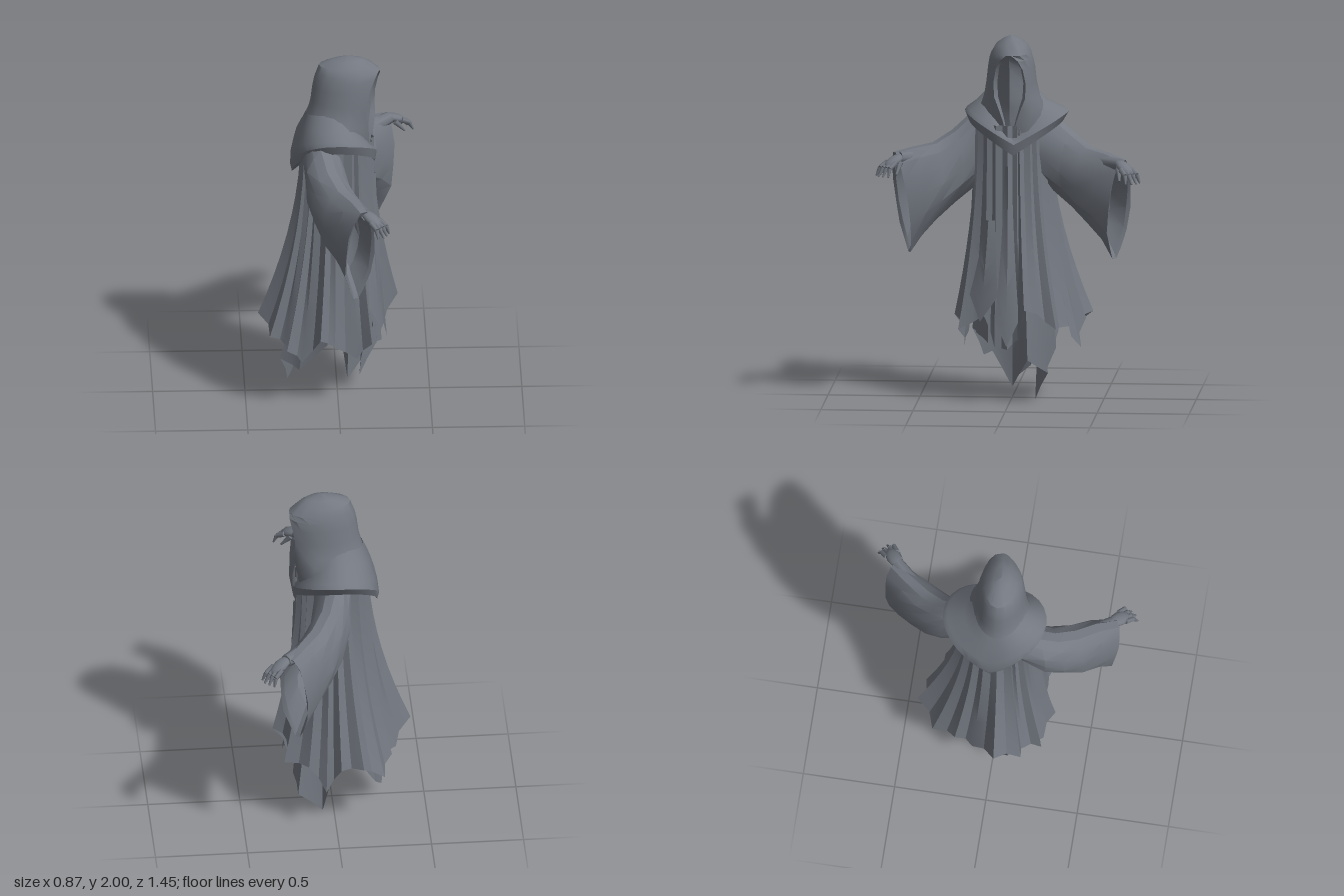
import * as THREE from 'three';
import { toCreasedNormals } from 'three/addons/utils/BufferGeometryUtils.js';

const cloth = new THREE.MeshStandardMaterial({ color: 0x737881, side: THREE.DoubleSide });
cloth.name = 'grey cloth';

const V = (x, y, z) => new THREE.Vector3(x, y, z);
const { lerp } = THREE.MathUtils;
const TAU = Math.PI * 2;

// Skin a surface over rows of points; each row is a closed ring unless open
function loft(name, rows, { open = false, crease = 0.6 } = {}) {
  const n = rows[0].length, pos = [], idx = [];
  rows.forEach(r => r.forEach(p => pos.push(p.x, p.y, p.z)));
  for (let r = 0; r < rows.length - 1; r++)
    for (let c = 0; c < (open ? n - 1 : n); c++) {
      const a = r * n + c, b = r * n + (c + 1) % n;
      idx.push(a, b, a + n, b, b + n, a + n);
    }
  const g = new THREE.BufferGeometry();
  g.setAttribute('position', new THREE.Float32BufferAttribute(pos, 3));
  g.setIndex(idx);
  g.computeVertexNormals();
  const mesh = new THREE.Mesh(toCreasedNormals(g, crease), cloth);
  mesh.name = name;
  return mesh;
}

// Tapered round segment between two points
function limb(name, a, b, r0, r1, sides = 8) {
  const d = b.clone().sub(a);
  const m = new THREE.Mesh(new THREE.CylinderGeometry(r1, r0, d.length(), sides), cloth);
  m.position.copy(a).addScaledVector(d, 0.5);
  m.quaternion.setFromUnitVectors(V(0, 1, 0), d.normalize());
  m.name = name;
  return m;
}

// Skirt from an elliptical top to a ragged hem of [x, y, z] points,
// with a shallow pleat sunk between each pair of points
function skirt(name, hem, top, rx, rz, power, pleat) {
  const points = hem.flatMap((p, i) => {
    const q = hem[(i + 1) % hem.length];
    return [p, [(p[0] + q[0]) / 2 * pleat, (p[1] + q[1]) / 2, (p[2] + q[2]) / 2 * pleat]];
  });
  const rows = [];
  for (let i = 0; i <= 9; i++) {
    const t = i / 9, f = Math.pow(t, power);
    rows.push(points.map(([x, y, z], c) => {
      const a = Math.atan2(z, x), k = c % 2 ? pleat : 1.02;
      return V(lerp(Math.cos(a) * rx * k, x, f), lerp(top, y, t), lerp(Math.sin(a) * rz * k, z, f));
    }));
  }
  return loft(name, rows, { crease: 0.4 });
}

// Pointed cloth strip lying on the robe, around angle a
function panel(a, width, top, bottom) {
  const rows = [];
  for (let i = 0; i <= 6; i++) {
    const t = i / 6, y = lerp(top, bottom, t);
    const grow = Math.pow((1.5 - y) / 1.05, 1.8);
    const w = width * (0.45 + 0.55 * t);
    rows.push([-1, 0, 1].map(s => {
      const b = a + s * w, k = s ? 0.95 : 1.03;
      return V(Math.cos(b) * (0.2 + 0.05 * grow) * k, y + (s ? 0.14 * t : 0),
        Math.sin(b) * (0.2 + 0.12 * grow) * k);
    }));
  }
  return loft('robePanel', rows, { open: true });
}

// Hood with a recessed, ridged face opening, turned slightly to its left
function hood() {
  // y, back x, front x, half width, opening half width, recess
  const profile = [
    [2.0, 0.06, 0.06, 0.001, 0, 0], [1.98, -0.03, 0.14, 0.045, 0, 0],
    [1.95, -0.1, 0.185, 0.085, 0, 0], [1.91, -0.115, 0.23, 0.108, 0.015, 0],
    [1.88, -0.125, 0.235, 0.118, 0.05, 0.03], [1.83, -0.135, 0.235, 0.128, 0.075, 0.055],
    [1.75, -0.145, 0.23, 0.136, 0.09, 0.06], [1.67, -0.165, 0.213, 0.152, 0.085, 0.05],
    [1.62, -0.185, 0.2, 0.18, 0.065, 0.04], [1.55, -0.19, 0.188, 0.19, 0.04, 0.03],
    [1.47, -0.2, 0.18, 0.19, 0.012, 0.01], [1.42, -0.2, 0.17, 0.18, 0.01, 0]];
  return loft('hood', profile.map(([y, xb, xf, hw, open, recess]) => {
    const cx = (xb + xf) / 2, rx = (xf - xb) / 2;
    const rim = Math.asin(Math.max(open / hw, 0.1));
    const at = (a, dx = 0, s = 1) => V(
      cx + rx * Math.cos(a) - dx - 0.35 * hw * s * Math.sin(a) * Math.max(0, Math.cos(a)),
      y, hw * Math.sin(a) * s);
    const row = [at(0, recess * 0.7), at(rim, recess, 0.8)];
    for (let i = 0; i <= 14; i++) row.push(at(rim + (TAU - 2 * rim) * i / 14));
    row.push(at(-rim, recess, 0.8));
    return row;
  }), { crease: 0.7 });
}

// Draped collar, dipping to a point at front and back
function cowl() {
  // x radius, z radius, z shift, height at front, side and back
  const rings = [
    [0.15, 0.13, 0, 1.47, 1.7, 1.66], [0.185, 0.19, 0, 1.465, 1.635, 1.57],
    [0.22, 0.265, -0.02, 1.44, 1.595, 1.44], [0.235, 0.282, -0.025, 1.42, 1.575, 1.35],
    [0.225, 0.255, -0.02, 1.36, 1.52, 1.305], [0.17, 0.19, 0, 1.4, 1.53, 1.36]];
  return loft('cowl', rings.map(([rx, rz, dz, front, side, back]) => {
    const row = [];
    for (let i = 0; i < 28; i++) {
      const a = i / 28 * TAU, s = Math.abs(Math.sin(a));
      row.push(V(-0.02 + rx * Math.cos(a), lerp(Math.cos(a) > 0 ? front : back, side, s),
        dz + rz * Math.sin(a)));
    }
    return row;
  }), { crease: 0.7 });
}

// Bell sleeve: stations are [x, z, top, bottom, half width, lean]
function sleeve(name, stations, dx, dz) {
  return loft(name, stations.map(([x, z, top, bottom, hw, lean], r) => {
    const row = [];
    for (let i = 0; i < 14; i++) {
      const a = i / 14 * TAU, s = Math.sin(a), c = Math.cos(a);
      const w = hw * c * (1 + 0.07 * ((i + r) % 2)) * (s < -0.5 ? 0.75 : 1);
      row.push(V(x + dz * w + dx * lean * s, (top + bottom) / 2 + (top - bottom) / 2 * s,
        z - dx * w + dz * lean * s));
    }
    return row;
  }), { crease: 0.5 });
}

// Drooping hand with splayed fingers, reaching along (dx, dz)
function hand(name, wrist, dx, dz) {
  const g = new THREE.Group();
  g.name = name;
  const at = (f, u, s) => V(wrist.x + dx * f + dz * s, wrist.y + u, wrist.z + dz * f - dx * s);
  const palm = new THREE.Mesh(new THREE.SphereGeometry(1, 10, 7), cloth);
  palm.name = 'palm';
  palm.scale.set(0.04, 0.024, 0.07);
  palm.position.copy(at(0.04, -0.012, 0));
  palm.rotation.set(0.4, Math.atan2(dx, dz), 0, 'YXZ');
  g.add(palm);
  for (let i = 0; i < 4; i++) {
    const s = (i - 1.5) * 0.021, reach = 0.145 - Math.abs(i - 1.3) * 0.012;
    const knuckle = at(0.06, -0.02, s), joint = at(0.108, -0.045, s * 1.2);
    g.add(limb('finger', knuckle, joint, 0.016, 0.013, 6));
    g.add(limb('fingertip', joint, at(reach, -0.09, s * 1.5), 0.013, 0.005, 6));
  }
  const side = dz > 0 ? 1 : -1;
  g.add(limb('thumb', at(0.02, -0.02, side * 0.025), at(0.07, -0.08, side * 0.05), 0.018, 0.006, 6));
  return g;
}

export function createModel() {
  const model = new THREE.Group();
  model.name = 'hoodedFigure';
  model.add(hood(), cowl());

  // Outer robe
  model.add(skirt('outerRobe', [
    [0.24, 0.3, 0.01], [0.21, 0.31, 0.08], [0.19, 0.48, 0.14], [0.18, 0.4, 0.28],
    [0.1, 0.3, 0.25], [-0.02, 0.38, 0.28], [-0.1, 0.44, 0.32], [-0.2, 0.29, 0.27],
    [-0.28, 0.36, 0.27], [-0.3, 0.37, 0.18], [-0.37, 0.4, 0.17], [-0.43, 0.48, 0.03], [-0.34, 0.38, -0.1],
    [-0.31, 0.4, -0.2], [-0.26, 0.34, -0.33], [-0.14, 0.46, -0.43], [-0.02, 0.44, -0.4],
    [0.06, 0.29, -0.38], [0.15, 0.42, -0.32], [0.28, 0.42, -0.26], [0.26, 0.5, -0.16],
    [0.33, 0.53, -0.09], [0.25, 0.36, -0.05]], 1.52, 0.195, 0.205, 1.9, 0.94));

  // Overlapping strips
  for (const [a, w, top, bottom] of [
    [0.5, 0.3, 1.0, 0.45], [-0.75, 0.3, 1.1, 0.5], [0.03, 0.2, 1.3, 0.32]])
    model.add(panel(a, w, top, bottom));

  // Ragged under layer
  model.add(skirt('underRobe', [
    [0.12, 0.08, -0.01], [0.14, 0.32, 0.12], [0.04, 0.36, 0.19], [-0.06, 0.37, 0.22], [-0.21, 0.2, 0.17],
    [-0.31, 0.23, 0.09], [-0.27, 0.07, 0.0], [-0.23, 0.14, -0.08], [-0.16, 0.3, -0.17],
    [-0.04, 0.37, -0.25], [0.02, 0.28, -0.24], [0.06, 0.002, -0.13], [0.2, 0.17, -0.21],
    [0.22, 0.24, -0.1]], 0.95, 0.17, 0.18, 1.1, 0.97));

  // Sleeves, turned back on themselves at the cuff
  model.add(sleeve('leftSleeve', [
    [-0.08, 0.1, 1.61, 1.3, 0.115, 0], [-0.07, 0.22, 1.55, 1.14, 0.12, 0], [-0.04, 0.32, 1.46, 1.06, 0.115, 0],
    [0.015, 0.42, 1.4, 0.97, 0.115, 0], [0.07, 0.51, 1.385, 0.89, 0.105, 0.02],
    [0.105, 0.59, 1.365, 0.8, 0.085, 0.045], [0.1, 0.58, 1.345, 0.83, 0.07, 0.045],
    [0.04, 0.48, 1.35, 0.95, 0.07, 0]], 0.45, 0.89));
  model.add(sleeve('rightSleeve', [
    [0.0, -0.1, 1.61, 1.3, 0.12, 0], [0.02, -0.24, 1.54, 1.14, 0.12, 0], [0.06, -0.34, 1.46, 1.06, 0.11, 0],
    [0.12, -0.43, 1.4, 0.98, 0.11, 0], [0.19, -0.52, 1.385, 0.9, 0.1, 0.01],
    [0.255, -0.6, 1.36, 0.8, 0.085, 0.035], [0.245, -0.59, 1.34, 0.83, 0.07, 0.035],
    [0.17, -0.5, 1.35, 0.95, 0.07, 0]], 0.62, -0.78));

  // Forearms and hands
  const leftWrist = V(0.14, 1.33, 0.6), rightWrist = V(0.3, 1.335, -0.61);
  model.add(limb('leftForearm', V(0.03, 1.32, 0.44), leftWrist, 0.05, 0.034));
  model.add(limb('rightForearm', V(0.15, 1.32, -0.46), rightWrist, 0.05, 0.034));
  model.add(hand('leftHand', leftWrist, 0.72, 0.69));
  model.add(hand('rightHand', rightWrist, 0.8, -0.6));
  return model;
}
